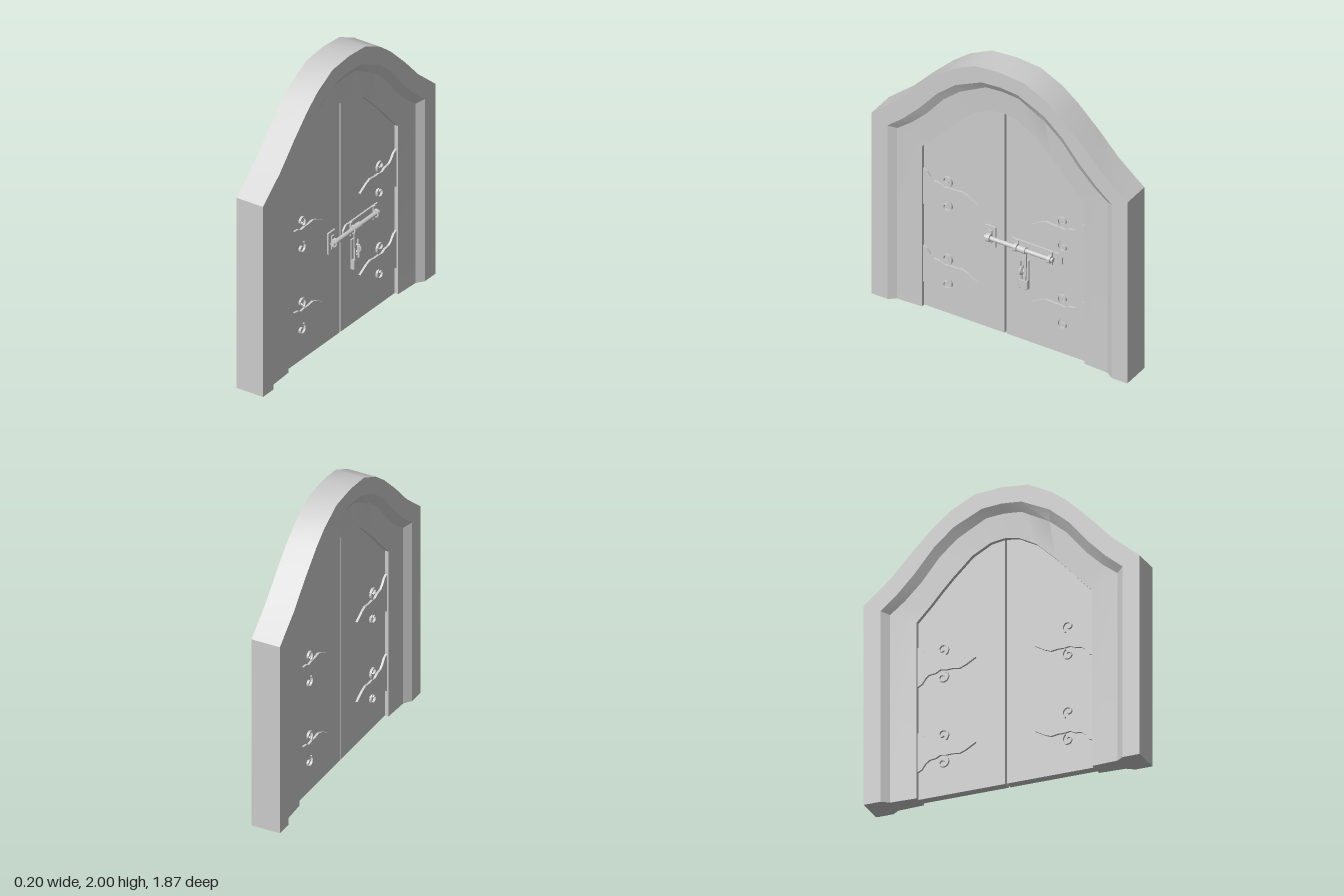
import * as THREE from 'three';
import { toCreasedNormals } from 'three/addons/utils/BufferGeometryUtils.js';

const mat = new THREE.MeshStandardMaterial({ color: 0xcccccc });
const DOOR = 0.03; // half thickness of the door leaves

function add(parent, name, geo, x = 0, y = 0, z = 0) {
  const m = new THREE.Mesh(geo, mat);
  m.name = name;
  m.position.set(x, y, z);
  parent.add(m);
  return m;
}

// Outline given as [z, y] pairs, extruded along x from x0 to x1
function slab(points, x0, x1, bevel = 0) {
  const shape = new THREE.Shape(points.map(([z, y]) => new THREE.Vector2(-z, y)));
  const geo = new THREE.ExtrudeGeometry(shape, {
    depth: x1 - x0 - bevel, bevelEnabled: bevel > 0,
    bevelThickness: bevel, bevelSize: bevel, bevelOffset: -bevel, bevelSegments: 1,
  });
  return geo.rotateY(Math.PI / 2).translate(x0, 0, 0);
}

// Half arches [z, y] from springing to crown
const OUTER = [[0.935, 1.36], [0.75, 1.515], [0.6, 1.675], [0.45, 1.82], [0.34, 1.905], [0.18, 1.985], [0, 2]];
const STEP = [[0.82, 1.305], [0.705, 1.4], [0.59, 1.517], [0.456, 1.676], [0.324, 1.788], [0.133, 1.878], [0, 1.889]];
const COVE = [[0.77, 1.284], [0.67, 1.36], [0.56, 1.465], [0.43, 1.623], [0.31, 1.724], [0.12, 1.825], [0, 1.835]];
const INNER = [[0.594, 1.204], [0.5, 1.3], [0.425, 1.385], [0.35, 1.464], [0.217, 1.59], [0.095, 1.655], [0, 1.67]];

// Full path: up the left jamb, over the arch, down the right jamb
function fullPath(half) {
  const side = [[half[0][0], 0], ...half];
  return [...side, ...side.slice(0, -1).reverse().map(([z, y]) => [-z, y])];
}

// Moulded frame: an eight-point section swept over the arch
function frameGeometry() {
  const rails = [[OUTER, 0.1], [STEP, 0.1], [COVE, 0.065], [INNER, 0.056]];
  const ring = [...rails, ...rails.map(([p, x]) => [p, -x]).reverse()]
    .map(([p, x]) => ({ path: fullPath(p), x }));
  const n = ring.length, count = ring[0].path.length;
  const pos = [], idx = [];
  for (let k = 0; k < count; k++) {
    for (const { path, x } of ring) pos.push(x, path[k][1], path[k][0]);
  }
  const quad = (a, b, c, d) => idx.push(a, b, c, a, c, d);
  for (let k = 0; k < count - 1; k++) {
    for (let j = 0; j < n; j++) {
      const j2 = (j + 1) % n;
      quad(k * n + j, k * n + j2, (k + 1) * n + j2, (k + 1) * n + j);
    }
  }
  // Feet of both jambs
  const e = (count - 1) * n;
  for (let j = 0; j < 3; j++) {
    quad(7 - j, 6 - j, j + 1, j);
    quad(e + j, e + j + 1, e + 6 - j, e + 7 - j);
  }
  const geo = new THREE.BufferGeometry();
  geo.setAttribute('position', new THREE.Float32BufferAttribute(pos, 3));
  geo.setIndex(idx);
  return toCreasedNormals(geo, 0.45);
}

// Ornamental strap: pointed plate with two scrolls, s is the side along z
const EDGE = [[0.594, 0.135], [0.565, 0.12], [0.54, 0.085], [0.515, 0.065], [0.47, 0.06], [0.44, 0.043],
  [0.4, 0.05], [0.36, 0.048], [0.31, 0.055], [0.27, 0.04]];

function scrollOutline(s, up) {
  const left = [], right = [];
  for (let i = 0; i <= 22; i++) {
    const t = i / 22;
    const a = -1.1 + t * 6.6;                 // winds from the stem inwards
    const r = 0.042 - 0.032 * t, w = 0.009 * (1 - 0.4 * t);
    const p = (q) => [s * (0.425 - q * Math.cos(a)), up * (0.095 + q * Math.sin(a))];
    left.push(p(r + w / 2));
    right.push(p(r - w / 2));
  }
  return [...left, ...right.reverse()];
}

function strap(s) {
  const g = new THREE.Group();
  g.name = 'hingeStrap';
  const outline = [...EDGE, [0.2, 0], ...EDGE.map(([z, y]) => [z, -y]).reverse()]
    .map(([z, y]) => [s * z, y]);
  add(g, 'strapPlate', slab(outline, DOOR, DOOR + 0.015));
  for (const up of [1, -1]) add(g, 'strapScroll', slab(scrollOutline(s, up), DOOR, DOOR + 0.015));
  return g;
}

const rect = (z0, z1, y0, y1) => [[z0, y0], [z0, y1], [z1, y1], [z1, y0]];

// Staple that wraps round the bolt rod
function clasp(parent, name, z, width, y, rodX) {
  const depth = rodX - DOOR;
  const loop = new THREE.Shape();
  loop.moveTo(0, -0.026);
  loop.lineTo(depth, -0.026);
  loop.absarc(depth, 0, 0.026, -Math.PI / 2, Math.PI / 2, false);
  loop.lineTo(0, 0.026);
  const geo = new THREE.ExtrudeGeometry(loop, { depth: width, bevelEnabled: false, curveSegments: 8 });
  add(parent, name, toCreasedNormals(geo, 0.6), DOOR, y, z - width / 2);
  // Feet above and below
  add(parent, name + 'Foot', new THREE.BoxGeometry(0.014, 0.094, width), DOOR + 0.015, y, z);
}

function bolt() {
  const g = new THREE.Group();
  g.name = 'slidingBolt';
  const y = 0.7, rodX = 0.062;
  add(g, 'keeperPlate', slab(rect(0.143, 0.064, 0.625, 0.773), DOOR, DOOR + 0.012));
  add(g, 'boltPlate', slab([[-0.02, 0.715], [-0.05, 0.745], [-0.395, 0.745], [-0.422, 0.725],
    [-0.422, 0.675], [-0.395, 0.655], [-0.05, 0.655], [-0.02, 0.685]], DOOR, DOOR + 0.012));
  add(g, 'boltRod', new THREE.CylinderGeometry(0.015, 0.015, 0.5, 16).rotateX(Math.PI / 2), rodX, y, -0.12);
  clasp(g, 'keeperClasp', 0.103, 0.028, y, rodX);
  for (const z of [-0.097, -0.345]) clasp(g, 'boltClasp', z, 0.022, y, rodX);

  // Hasp hanging from the rod, with a slot for the staple
  const hasp = new THREE.Shape([[0.03, 0.71], [-0.03, 0.71], [-0.026, 0.47], [0.026, 0.47]]
    .map(([u, v]) => new THREE.Vector2(u, v)));
  hasp.holes.push(new THREE.Path([[-0.012, 0.5], [0.012, 0.5], [0.012, 0.61], [-0.012, 0.61]]
    .map(([u, v]) => new THREE.Vector2(u, v))));
  const haspGeo = new THREE.ExtrudeGeometry(hasp, { depth: 0.01, bevelEnabled: false }).rotateY(Math.PI / 2);
  add(g, 'hasp', haspGeo, 0.052, 0, -0.142);
  add(g, 'haspKnuckle', new THREE.CylinderGeometry(0.022, 0.022, 0.055, 16).rotateX(Math.PI / 2), rodX, y, -0.142);
  add(g, 'staplePlate', slab(rect(-0.112, -0.175, 0.4, 0.61), DOOR, DOOR + 0.01));
  add(g, 'haspTail', slab(rect(-0.112, -0.175, 0.4, 0.468), DOOR, 0.058, 0.004));
  add(g, 'stapleLoop', new THREE.TorusGeometry(0.026, 0.007, 8, 20), 0.062, 0.545, -0.142);
  add(g, 'staplePin', new THREE.CylinderGeometry(0.008, 0.008, 0.09, 10), 0.074, 0.53, -0.142);
  return g;
}

export function createModel() {
  const model = new THREE.Group();
  model.name = 'archedGate';
  add(model, 'frame', frameGeometry());

  // Two leaves with a narrow gap between them
  const gap = 0.006;
  for (const s of [1, -1]) {
    const outline = [[INNER[0][0], 0], ...INNER.slice(0, -1), [gap, 1.669], [gap, 0]]
      .map(([z, y]) => [s * z, y]);
    add(model, s > 0 ? 'leftLeaf' : 'rightLeaf', slab(outline, -DOOR, DOOR));
  }

  // Straps on both faces of both leaves
  for (const turn of [0, Math.PI]) {
    const face = new THREE.Group();
    face.name = turn ? 'innerStraps' : 'outerStraps';
    face.rotation.y = turn;
    for (const s of [1, -1]) {
      for (const y of [0.9, 0.317]) {
        const h = strap(s);
        h.position.y = y;
        face.add(h);
      }
    }
    model.add(face);
  }

  model.add(bolt());
  return model;
}
